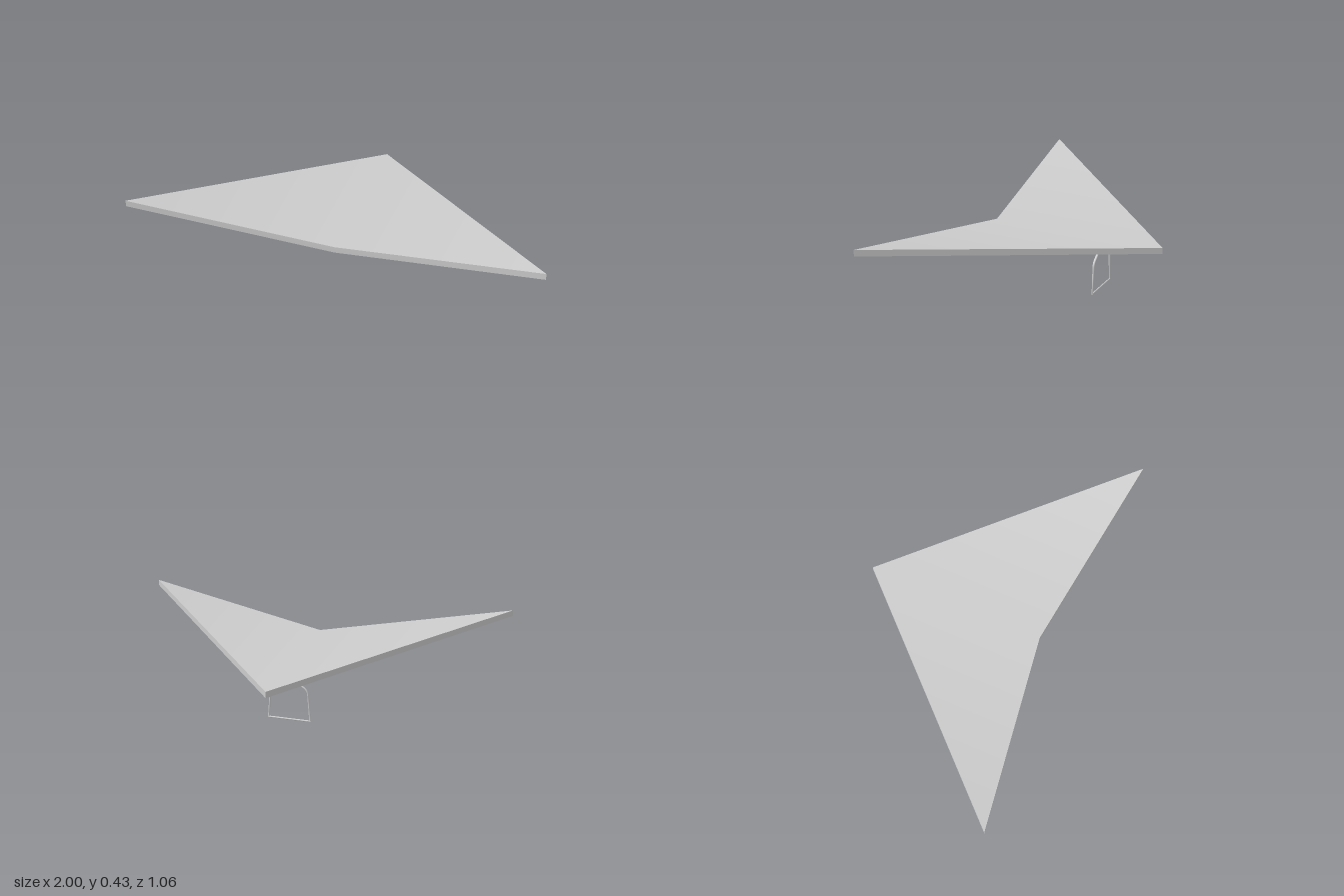
import * as THREE from 'three';
import { toCreasedNormals } from 'three/addons/utils/BufferGeometryUtils.js';

const grey = new THREE.MeshStandardMaterial({ color: 0xcccccc });
const V = (x, y, z) => new THREE.Vector3(x, y, z);

function addMesh(parent, name, geometry) {
  const mesh = new THREE.Mesh(geometry, grey);
  mesh.name = name;
  parent.add(mesh);
  return mesh;
}

// Round bar running between two points
function bar(a, b, radius) {
  const g = new THREE.CylinderGeometry(radius, radius, a.distanceTo(b), 12);
  const dir = b.clone().sub(a).normalize();
  g.applyQuaternion(new THREE.Quaternion().setFromUnitVectors(V(0, 1, 0), dir));
  const mid = a.clone().add(b).multiplyScalar(0.5);
  return g.translate(mid.x, mid.y, mid.z);
}

// Thin arrowhead slab, bent upward from the centre line to the tips
function wingGeometry() {
  const outline = new THREE.Shape([
    new THREE.Vector2(0, 0.53),
    new THREE.Vector2(-1, -0.53),
    new THREE.Vector2(0, -0.39),
    new THREE.Vector2(1, -0.53),
  ]);
  const g = new THREE.ExtrudeGeometry(outline, { depth: 0.031, bevelEnabled: false });
  g.rotateX(-Math.PI / 2);
  const p = g.attributes.position;
  for (let i = 0; i < p.count; i++) {
    p.setY(i, p.getY(i) + 0.243 + 0.16 * Math.abs(p.getX(i)));
  }
  return toCreasedNormals(g, Math.PI / 6);
}

// Hanging control frame: two bent legs, deeper at the top than at the bottom
function legGeometry(side) {
  const z = -0.204, cx = -0.011;
  const path = new THREE.CurvePath();
  const top = V(0, 0.23, z);
  const bendIn = V(cx + side * 0.072, 0.18, z);
  const bend = V(cx + side * 0.092, 0.168, z);
  const bendOut = V(cx + side * 0.096, 0.145, z);
  const foot = V(cx + side * 0.107, 0.004, z);
  path.add(new THREE.LineCurve3(top, bendIn));
  path.add(new THREE.QuadraticBezierCurve3(bendIn, bend, bendOut));
  path.add(new THREE.LineCurve3(bendOut, foot));
  const g = new THREE.TubeGeometry(path, 40, 0.004, 10);
  const p = g.attributes.position;
  for (let i = 0; i < p.count; i++) {
    const stretch = 0.8 + 4 * p.getY(i);
    p.setZ(i, z + (p.getZ(i) - z) * stretch);
  }
  g.computeVertexNormals();
  return g;
}

export function createModel() {
  const model = new THREE.Group();
  model.name = 'hangGlider';

  addMesh(model, 'wing', wingGeometry());

  // Struts fanning out under the wing
  for (const side of [-1, 1]) {
    const label = side > 0 ? 'left' : 'right';
    const strut = bar(V(0, 0.234, -0.206), V(side * 0.212 - 0.003, 0.268, 0.368), 0.007);
    addMesh(model, label + 'Strut', strut);
  }

  const frame = new THREE.Group();
  frame.name = 'controlFrame';
  model.add(frame);
  addMesh(frame, 'rightLeg', legGeometry(-1));
  addMesh(frame, 'leftLeg', legGeometry(1));
  addMesh(frame, 'handleBar', bar(V(-0.121, 0.004, -0.204), V(0.099, 0.004, -0.204), 0.004));

  return model;
}
